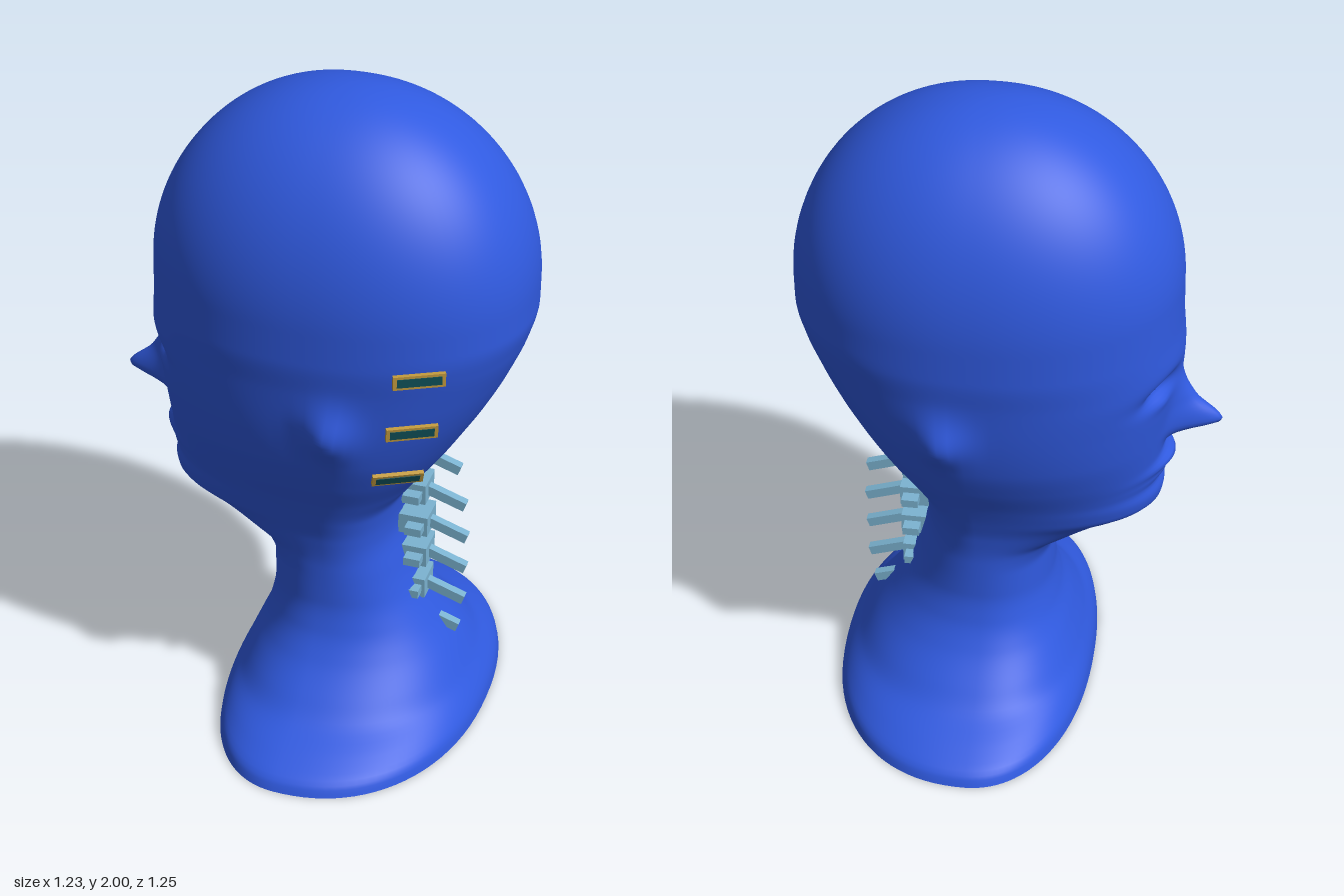
import * as THREE from 'three';

const mat = (name, color, side = THREE.FrontSide) => {
  const m = new THREE.MeshStandardMaterial({ color, side });
  m.name = name;
  return m;
};

// Smooth monotone interpolation through [y, value] points
function profile(pts) {
  const n = pts.length;
  const d = pts.slice(1).map((p, i) => (p[1] - pts[i][1]) / (p[0] - pts[i][0]));
  const m = pts.map((p, i) => {
    if (i === 0) return d[0];
    if (i === n - 1) return d[n - 2];
    return d[i - 1] * d[i] <= 0 ? 0 : (2 * d[i - 1] * d[i]) / (d[i - 1] + d[i]);
  });
  return (y) => {
    let i = 0;
    while (i < n - 2 && y > pts[i + 1][0]) i++;
    const h = pts[i + 1][0] - pts[i][0];
    const t = THREE.MathUtils.clamp((y - pts[i][0]) / h, 0, 1);
    const t2 = t * t, t3 = t2 * t;
    return pts[i][1] * (2 * t3 - 3 * t2 + 1) + m[i] * h * (t3 - 2 * t2 + t)
      + pts[i + 1][1] * (3 * t2 - 2 * t3) + m[i + 1] * h * (t3 - t2);
  };
}

const bell = (v, c, w) => Math.exp(-(((v - c) / w) ** 2));
const CX = 0.07, CROWN = 1.45;

// Face side (-x), back (+x) and half width (z) by height
const faceX = profile([[0, -0.26], [0.04, -0.255], [0.13, -0.22], [0.2, -0.19], [0.3, -0.15], [0.4, -0.133],
  [0.5, -0.133], [0.57, -0.165], [0.62, -0.25], [0.68, -0.36], [0.725, -0.45], [0.76, -0.455], [0.8, -0.445],
  [0.93, -0.455], [1.1, -0.475], [1.23, -0.497], [1.35, -0.488], [1.45, -0.485]]);
const backX = profile([[0, 0.53], [0.03, 0.525], [0.13, 0.47], [0.2, 0.43], [0.3, 0.365], [0.4, 0.31], [0.5, 0.275],
  [0.62, 0.25], [0.72, 0.26], [0.8, 0.31], [0.9, 0.385], [1, 0.45], [1.1, 0.51], [1.2, 0.56], [1.3, 0.6],
  [1.38, 0.618], [1.45, 0.618]]);
const halfZ = profile([[0, 0.625], [0.03, 0.61], [0.07, 0.54], [0.12, 0.435], [0.17, 0.38], [0.25, 0.305], [0.33, 0.26],
  [0.42, 0.24], [0.55, 0.238], [0.65, 0.25], [0.72, 0.27], [0.8, 0.3], [0.9, 0.345], [1, 0.38], [1.12, 0.402],
  [1.25, 0.415], [1.35, 0.425], [1.45, 0.425]]);
const noseOut = profile([[0.915, 0], [0.94, 0.02], [0.99, 0.155], [1, 0.15], [1.07, 0.065], [1.17, 0.006], [1.22, 0]]);

// Head, neck and shoulders as one open shell
function headGeometry() {
  const ROWS = 190, LOW = 140, SEG = 140;
  const pos = [], index = [];
  for (let j = 0; j <= ROWS; j++) {
    const up = Math.max(0, j - LOW) / (ROWS - LOW) * Math.PI / 2;
    const y = j <= LOW ? CROWN * j / LOW : CROWN + (2 - CROWN) * Math.sin(up);
    const s = Math.cos(up), yy = Math.min(y, CROWN);
    const front = (CX - faceX(yy)) * s, back = (backX(yy) - CX) * s, half = halfZ(yy) * s;
    for (let i = 0; i < SEG; i++) {
      const t = i / SEG * Math.PI * 2;
      const a = t - 0.6 * Math.sin(t); // finer columns along the face
      const c = Math.cos(a), sn = Math.sin(a), e = 2 / 2.2;
      let x = CX - Math.sign(c) * Math.abs(c) ** e * (c > 0 ? front : back);
      let z = Math.sign(sn) * Math.abs(sn) ** e * half;
      // ears
      z += Math.sign(sn) * 0.052 * bell(x, 0.15, 0.065) * bell(y, 1.12, 0.085) * Math.min(1, Math.abs(z) / 0.2);
      if (c > 0 && x < -0.1) {
        const az = Math.abs(z);
        x -= noseOut(y) * bell(z, 0, 0.05);
        // lips and the groove between them
        x -= (0.036 * bell(y, 0.86, 0.022) + 0.016 * bell(y, 0.822, 0.013)) * bell(z, 0, 0.12);
        // eye sockets and closed lids
        x += 0.045 * bell(y, 1.185, 0.04) * bell(az, 0.15, 0.085);
        x -= 0.015 * bell(y, 1.15, 0.025) * bell(az, 0.15, 0.05);
      }
      pos.push(x, y, z);
    }
  }
  for (let j = 0; j < ROWS; j++) for (let i = 0; i < SEG; i++) {
    const p = j * SEG + i, q = j * SEG + (i + 1) % SEG;
    index.push(p, q, p + SEG, q, q + SEG, p + SEG);
  }
  const g = new THREE.BufferGeometry();
  g.setAttribute('position', new THREE.Float32BufferAttribute(pos, 3));
  g.setIndex(index);
  g.computeVertexNormals();
  return g;
}

export function createModel() {
  const root = new THREE.Group();
  const skin = mat('skin blue', 0x305ae0, THREE.DoubleSide);
  const bone = mat('bone blue', 0x7cb4d2);
  const gold = mat('gold frame', 0xc29a3e);
  const teal = mat('teal panel', 0x0e5058);
  const vein = mat('vein magenta', 0xbb35cc);
  const artery = mat('artery crimson', 0x9c1048);

  const add = (parent, name, geo, m, x = 0, y = 0, z = 0) => {
    const mesh = new THREE.Mesh(geo, m);
    mesh.name = name;
    mesh.position.set(x, y, z);
    parent.add(mesh);
    return mesh;
  };
  const group = (name) => {
    const g = new THREE.Group();
    g.name = name;
    root.add(g);
    return g;
  };

  add(root, 'head', headGeometry(), skin);

  // Neck bones: body, arch, side wings and rear spine
  const spine = group('spine');
  const bodyGeo = new THREE.CylinderGeometry(0.06, 0.06, 0.07, 16);
  const archGeo = new THREE.BoxGeometry(0.1, 0.065, 0.09);
  const wingGeo = new THREE.BoxGeometry(0.05, 0.026, 0.164);
  const rearGeo = new THREE.BoxGeometry(0.14, 0.03, 0.026);
  [0.86, 0.735, 0.622, 0.512, 0.397, 0.29, 0.18].forEach((y, i) => {
    const v = new THREE.Group();
    v.name = 'vertebra';
    v.position.set([-0.025, -0.005, 0.003, 0.002, 0, -0.015, -0.04][i], y, 0);
    add(v, 'vertebraBody', bodyGeo, bone, 0.19);
    add(v, 'vertebraArch', archGeo, bone, 0.285);
    add(v, 'vertebraWings', wingGeo, bone, 0.3);
    add(v, 'vertebraSpine', rearGeo, bone, 0.38, -0.017).rotation.z = -0.32;
    spine.add(v);
  });

  // Framed plates behind the model's ear on the +z side
  const plates = group('sensorPlates');
  [[0.395, 1.33, 0.367, 0.49, 0.05], [0.375, 1.155, 0.357, 0.5, 0.15], [0.328, 0.977, 0.327, 0.5, 0.4]]
    .forEach(([x, y, z, turn, tilt]) => {
      const p = new THREE.Group();
      p.name = 'sensorPlate';
      p.position.set(x, y, z);
      p.rotation.set(tilt, turn, 0, 'YXZ');
      add(p, 'plateFrame', new THREE.BoxGeometry(0.145, 0.042, 0.012), gold);
      add(p, 'platePanel', new THREE.BoxGeometry(0.124, 0.026, 0.004), teal, 0, 0, 0.006);
      plates.add(p);
    });

  // Vessels inside the neck
  let seed = 7;
  const rnd = () => (seed = (seed * 16807) % 2147483647) / 2147483647;
  const vessels = group('vessels');
  const tube = (name, pts, r, m, steps = 10) => add(vessels, name, new THREE.TubeGeometry(
    new THREE.CatmullRomCurve3(pts.map((p) => new THREE.Vector3(...p))), steps, r, 6), m);
  for (const s of [-1, 1]) {
    tube('neckVein', [[0.08, 0.12, s * 0.1], [0.06, 0.4, s * 0.11], [0.03, 0.65, s * 0.13], [0.06, 0.95, s * 0.18]], 0.016, vein, 20);
    tube('neckArtery', [[0.03, 0.12, s * 0.07], [0, 0.4, s * 0.08], [0, 0.65, s * 0.1], [0, 0.95, s * 0.13]], 0.011, artery, 20);
    for (let k = 0; k < 22; k++) {
      let p = [0.04 + 0.04 * rnd(), 0.1 + 0.5 * rnd(), s * 0.09];
      const a = rnd() * Math.PI * 2, pts = [p];
      for (let n = 0; n < 4; n++) {
        p = [p[0] + 0.03 * Math.cos(a) + 0.03 * (rnd() - 0.5), p[1] + 0.05 * (rnd() - 0.5), p[2] + 0.025 * Math.sin(a) + 0.03 * (rnd() - 0.5)];
        pts.push(p);
      }
      tube('smallVessel', pts, 0.004, k % 5 ? artery : vein);
    }
  }
  return root;
}
